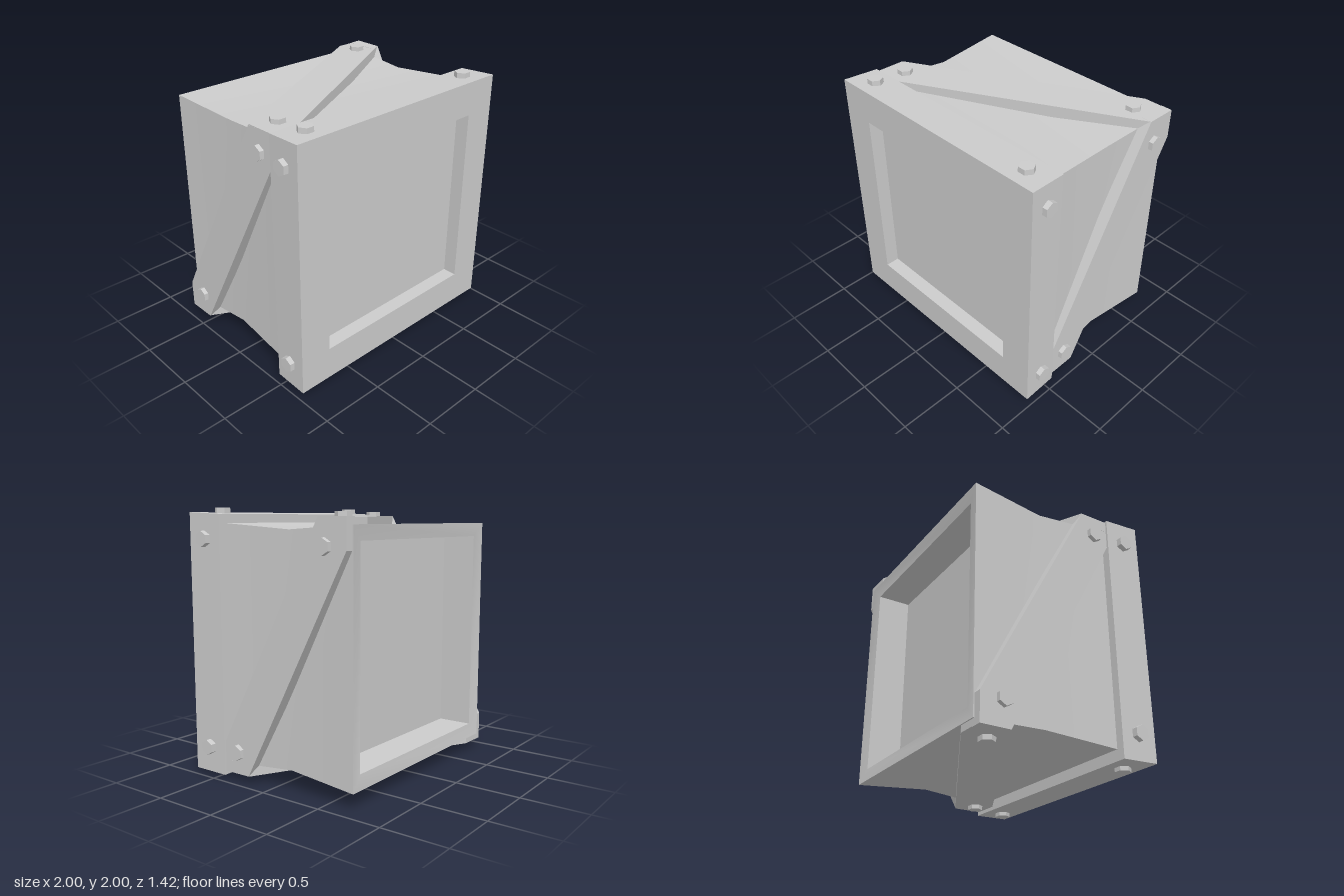
import * as THREE from 'three';
import { toCreasedNormals } from 'three/addons/utils/BufferGeometryUtils.js';

const material = new THREE.MeshStandardMaterial({ color: 0xcccccc });

function part(name, geometry) {
  const mesh = new THREE.Mesh(toCreasedNormals(geometry, 0.3), material);
  mesh.name = name;
  return mesh;
}

// Square-section solid along z from a profile of [half width, z]
function squareLathe(profile) {
  const points = profile.map(([h, z]) => new THREE.Vector2(h * Math.SQRT2, z));
  return new THREE.LatheGeometry(points, 4).rotateY(Math.PI / 4).rotateX(Math.PI / 2);
}

// Hexagonal bolt head standing on the local top side
function bolt(u, z, base, top) {
  const geometry = new THREE.CylinderGeometry(0.058, 0.06, top - base, 6);
  return geometry.rotateY(Math.PI / 2).translate(u, (top + base) / 2, z);
}

// Diagonal brace with its bolts, laid out for the top; s flips the diagonal,
// slope raises the brace towards the front
function side(name, s, angle, slope) {
  const group = new THREE.Group();
  group.name = name;
  const outline = [[-0.937, 0.43], [-0.72, 0.43], [0.937, -0.47],
    [0.937, -0.7], [0.72, -0.7], [-0.937, 0.195]];
  const shape = new THREE.Shape(outline.map(([u, z]) => new THREE.Vector2(u * s, -z)));
  const brace = new THREE.ExtrudeGeometry(shape, { depth: 0.09, bevelEnabled: false });
  brace.rotateX(-Math.PI / 2).translate(0, 0.85, 0);

  const tilt = new THREE.Matrix4().makeShear(0, 0, 0, 0, 0, slope);
  group.add(part('diagonalBrace', brace.applyMatrix4(tilt)));
  for (const [u, z] of [[-0.775, 0.295], [0.745, -0.525]]) {
    group.add(part('braceBolt', bolt(u * s, z, 0.92, 0.974).applyMatrix4(tilt)));
  }
  for (const u of [-0.775, 0.775]) group.add(part('frameBolt', bolt(u, 0.567, 0.93, 1)));
  group.rotation.z = angle;
  return group;
}

export function createModel() {
  const model = new THREE.Group();
  const crate = new THREE.Group();
  crate.name = 'crate';
  crate.position.y = 1;
  model.add(crate);

  // Waisted body, with a bevelled rim and a recessed panel at the back
  crate.add(part('body', squareLathe([[0, -0.42], [0.78, -0.42], [0.78, -0.69],
    [0.885, -0.71], [0.848, -0.14], [0.89, 0.45]])));

  // Front frame with a shallow recessed panel; its underside drops to the back
  const frame = squareLathe([[0.82, 0.427], [0.953, 0.427], [0.966, 0.71],
    [0.708, 0.71], [0.708, 0.6], [0, 0.6]]);
  const position = frame.attributes.position;
  for (let i = 0; i < position.count; i++) {
    if (position.getY(i) < -0.9 && position.getZ(i) < 0.5) position.setY(i, -0.972);
  }
  crate.add(part('frontFrame', frame));

  // Four braced sides; the upright ones mirror the diagonal
  crate.add(side('topSide', 1, 0, 0.009));
  crate.add(side('bottomSide', 1, Math.PI, 0.009));
  crate.add(side('leftSide', -1, -Math.PI / 2, -0.009));
  crate.add(side('rightSide', -1, Math.PI / 2, -0.009));
  return model;
}
